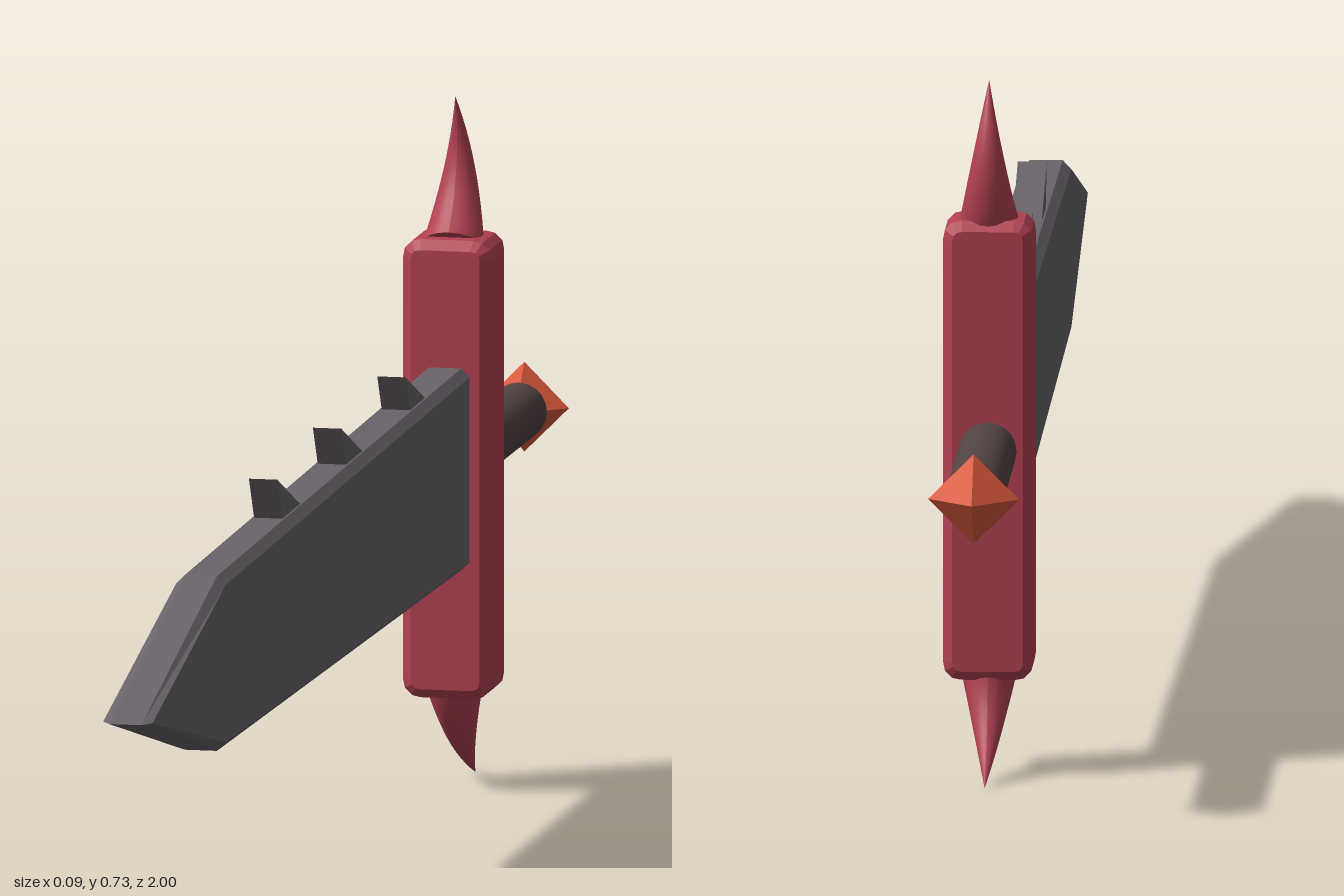
import * as THREE from 'three';

const material = (name, color) => {
  const m = new THREE.MeshStandardMaterial({ color });
  m.name = name;
  return m;
};

// Plate with chamfered edges; outline in (z, y), thickness along x, centred on x = 0
function sidePlate(outline, width, bevel) {
  const shape = new THREE.Shape(outline.map(([z, y]) => new THREE.Vector2(z, y)));
  const geo = new THREE.ExtrudeGeometry(shape, {
    depth: width - 2 * bevel,
    bevelEnabled: bevel > 0,
    bevelThickness: bevel,
    bevelSize: bevel,
    bevelOffset: -bevel,
    bevelSegments: 1,
  });
  geo.translate(0, 0, bevel - width / 2);
  geo.rotateY(-Math.PI / 2);
  return geo;
}

// Upright box with slightly rounded corners and a chamfer around front and back
function guardGeometry(w, h, d, bevel) {
  const x = w / 2 - bevel, y = h / 2 - bevel, r = 0.01;
  const s = new THREE.Shape();
  s.moveTo(-x + r, -y);
  s.lineTo(x - r, -y);
  s.quadraticCurveTo(x, -y, x, -y + r);
  s.lineTo(x, y - r);
  s.quadraticCurveTo(x, y, x - r, y);
  s.lineTo(-x + r, y);
  s.quadraticCurveTo(-x, y, -x, y - r);
  s.lineTo(-x, -y + r);
  s.quadraticCurveTo(-x, -y, -x + r, -y);
  const geo = new THREE.ExtrudeGeometry(s, {
    depth: d - 2 * bevel, bevelThickness: bevel, bevelSize: bevel,
    bevelSegments: 1, curveSegments: 3,
  });
  return geo.translate(0, 0, bevel - d / 2);
}

// Cone bent along a curve through the (z, y) control points
function hornGeometry(radius, points) {
  const curve = new THREE.QuadraticBezierCurve3(
    ...points.map(([z, y]) => new THREE.Vector3(0, y, z)));
  const geo = new THREE.ConeGeometry(radius, 1, 20, 12);
  const pos = geo.attributes.position;
  const side = new THREE.Vector3(1, 0, 0);
  for (let i = 0; i < pos.count; i++) {
    const t = THREE.MathUtils.clamp(pos.getY(i) + 0.5, 0, 1);
    const normal = side.clone().cross(curve.getTangent(t));
    const p = curve.getPoint(t)
      .addScaledVector(side, pos.getX(i))
      .addScaledVector(normal, pos.getZ(i));
    pos.setXYZ(i, p.x, p.y, p.z);
  }
  geo.computeVertexNormals();
  return geo;
}

export function createModel() {
  const steel = material('dark steel', 0x6a636a);
  const red = material('crimson', 0xb34252);
  const grip = material('dark brown', 0x524443);
  const orange = material('orange gem', 0xd9593c);

  const model = new THREE.Group();
  model.name = 'sword';
  const add = (name, geo, mat) => {
    const mesh = new THREE.Mesh(geo, mat);
    mesh.name = name;
    model.add(mesh);
    return mesh;
  };
  const axisY = 0.344;

  // Blade, widening a little towards the guard
  add('blade', sidePlate([
    [-0.59, 0.239], [0.63, 0.254], [1, axisY], [0.63, 0.437], [-0.59, 0.451],
  ], 0.052, 0.009), steel);

  // Three barbs on the upper edge, pointing to the tip
  [0.325, 0.012, -0.303].forEach((z, i) => {
    add('barb' + (i + 1), sidePlate([
      [z, 0.486], [z - 0.125, 0.436], [z - 0.028, 0.436],
    ], 0.03, 0), steel);
  });

  // Cross guard with a curved horn at each end
  add('guard', guardGeometry(0.093, 0.48, 0.084, 0.01), red).position.set(0, 0.343, -0.607);
  add('upperHorn', hornGeometry(0.032, [[-0.608, 0.572], [-0.66, 0.65], [-0.615, 0.727]]), red);
  add('lowerHorn', hornGeometry(0.032, [[-0.61, 0.122], [-0.625, 0.05], [-0.714, 0.002]]), red);

  // Grip
  const handle = new THREE.CylinderGeometry(0.03, 0.03, 0.3, 20).rotateX(Math.PI / 2);
  add('handle', handle, grip).position.set(0, axisY, -0.775);

  // Pommel gem
  add('pommel', new THREE.OctahedronGeometry(0.047), orange).position.set(0, axisY, -0.953);

  return model;
}
